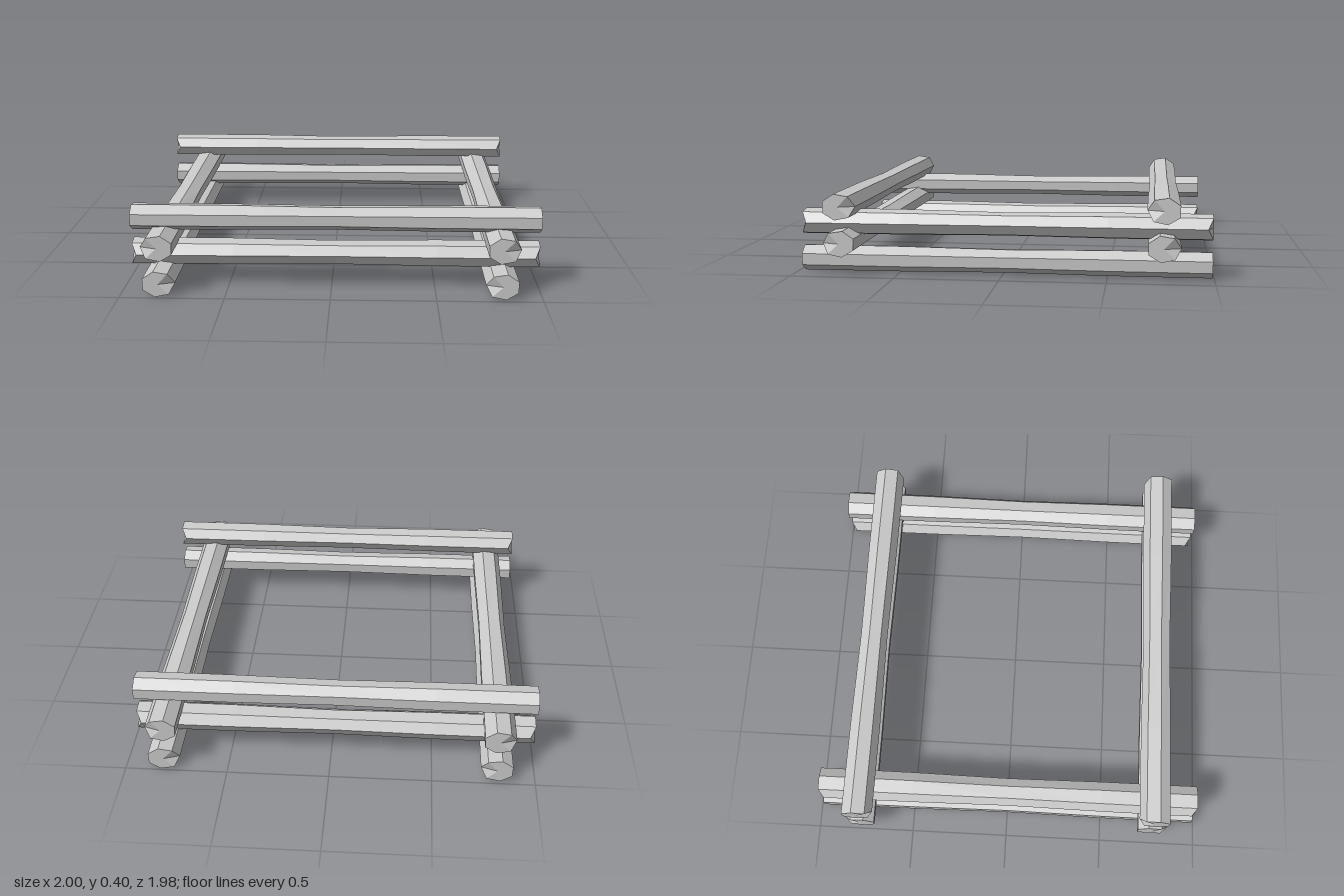
import * as THREE from 'three';

const HALF_HEIGHT = 0.064, HALF_WIDTH = 0.08, SIDES = 7;

// Seven-sided log along local x: slightly waisted, with one corner hewn off at each end
function logGeometry(length) {
  const geo = new THREE.CylinderGeometry(1, 1, 2, SIDES, 4, false, THREE.MathUtils.degToRad(14.5));
  const pos = geo.attributes.position;
  for (let i = 0; i < pos.count; i++) {
    const side = pos.getX(i), along = pos.getY(i), up = pos.getZ(i);
    let waist = 1 - 0.09 * Math.max(0, 1 - Math.abs(along) / 0.55);
    // shallow dent on the upper ridge at mid-length
    if (Math.abs(along) < 0.1 && up > 0.9) waist -= 0.03;
    // hewn corner at the ends
    const cut = Math.abs(along) > 0.9 && side < -0.9 ? 0.025 : 0;
    const x = along * length / 2 - Math.sign(along) * cut;
    pos.setXYZ(i, x, up * HALF_HEIGHT * waist, side * HALF_WIDTH * waist);
  }
  geo.computeVertexNormals();
  return geo;
}

export function createModel() {
  const group = new THREE.Group();
  const material = new THREE.MeshStandardMaterial({ color: 0xcccccc, flatShading: true });
  const geometry = logGeometry(1.967);

  const addLog = (name, x, y, z, turn) => {
    const log = new THREE.Mesh(geometry, material);
    log.name = name;
    log.position.set(x, y, z);
    log.rotation.y = turn;
    group.add(log);
  };

  // Two stacked courses; the lower one has its logs turned end for end
  const courses = [
    { label: 'lower', sideY: 0.067, crossY: 0.162, flip: Math.PI },
    { label: 'upper', sideY: 0.243, crossY: 0.338, flip: 0 },
  ];
  for (const { label, sideY, crossY, flip } of courses) {
    addLog(`${label}RightSideLog`, -0.816, sideY, 0.002, Math.PI / 2 + flip);
    addLog(`${label}LeftSideLog`, 0.812, sideY, -0.008, -Math.PI / 2 + flip);
    addLog(`${label}FrontLog`, 0.0165, crossY, 0.762, flip);
    addLog(`${label}BackLog`, -0.0165, crossY, -0.764, Math.PI + flip);
  }
  return group;
}
